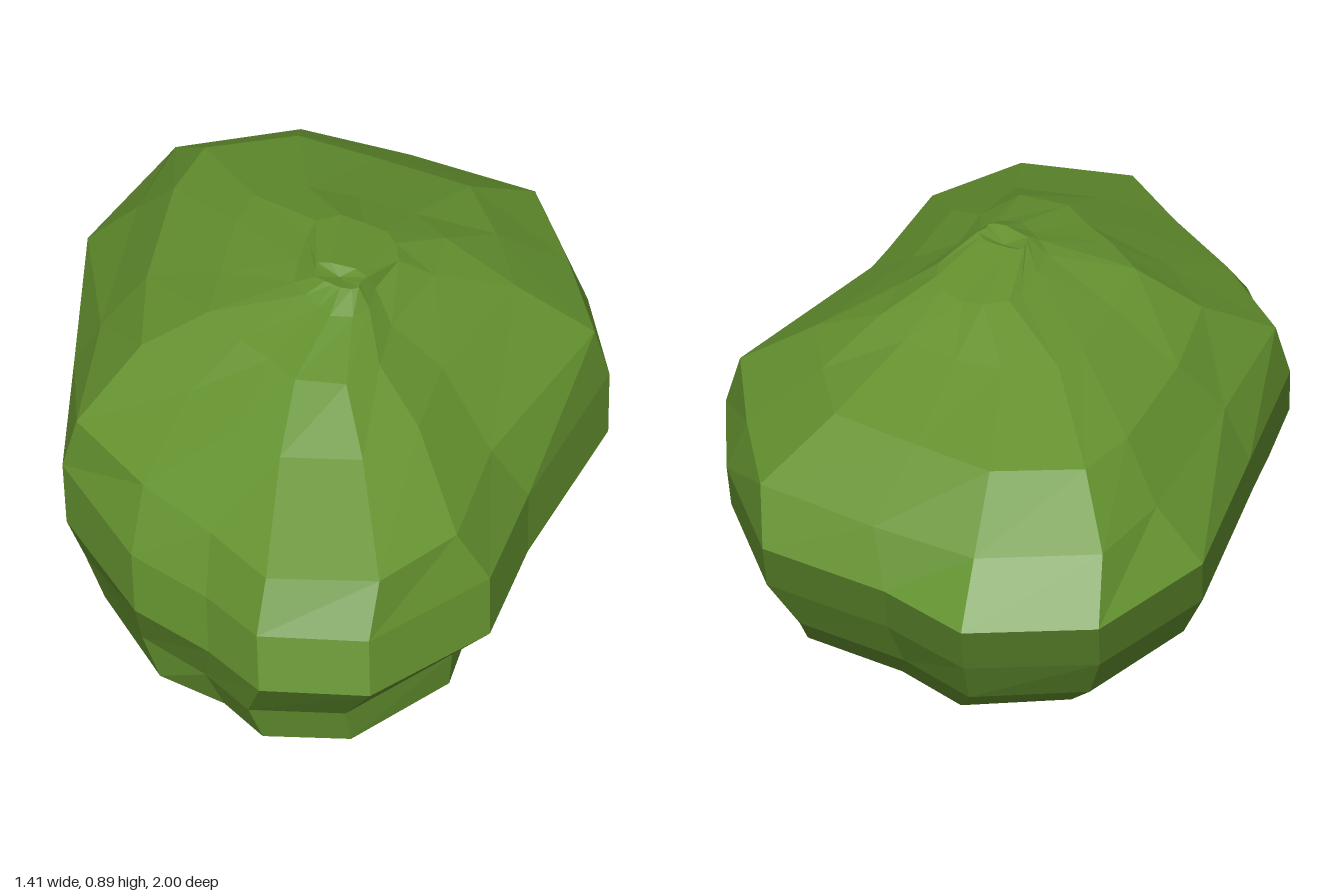
import * as THREE from 'three';

// Plan outlines (x, z), running from the back round the left side to the front
const WAIST = [[-.34, -1], [-.08, -.92], [.28, -.89], [.54, -.6], [.69, -.33], [.66, .2], [.68, .55], [.48, .89],
  [.21, .96], [.04, .85], [-.19, .75], [-.47, .46], [-.58, .05], [-.71, -.43], [-.63, -.82]];
const SHOULDER = [[-.3, -.86], [-.01, -.85], [.33, -.81], [.5, -.57], [.655, -.32], [.57, .22], [.6, .57], [.48, .81],
  [.21, .89], [.02, .76], [-.2, .63], [-.44, .44], [-.51, .05], [-.58, -.43], [-.57, -.69]];

// Rings from the ground up: outline, y, scale x, scale z, centre x, centre z, roughness
const RINGS = [
  [WAIST, .042, .45, .55, .01, .03, 0],
  [WAIST, .042, .67, .72, -.015, .02, 0],
  [WAIST, .085, .78, .86, .04, .07, 0],
  [WAIST, .18, .86, .92, -.005, .04, 0],
  [WAIST, .305, .99, .99, .02, .045, 0],
  [WAIST, .445, 1, 1, 0, 0, 0],
  [SHOULDER, .575, 1, 1, 0, 0, 0],
  [SHOULDER, .705, .74, .71, -.015, -.05, .01],
  [SHOULDER, .8, .44, .43, .02, 0, .02],
  [SHOULDER, .857, .2, .22, .09, -.02, .015],
  [SHOULDER, .888, .11, .05, .11, .055, 0],
];
const UNDERSIDE = 2; // rings below this one tilt gently down to the front left
const FOOT = 11; // column whose innermost bottom point touches the ground

// Swellings and hollows, as ring: { column: scale }
const BUMPS = {
  1: { 3: .95, 4: .92, 5: .96 },
  2: { 3: .91, 4: .89, 5: .96, 10: 1.05, 11: 1.06 },
  7: { 12: 1.05, 13: 1.05 },
  8: { 3: 1.15 },
};

function seeded(seed) {
  return () => {
    seed = (seed * 16807) % 2147483647;
    return seed / 2147483647 * 2 - 1;
  };
}

export function createModel() {
  const group = new THREE.Group();
  group.name = 'bush';
  const leafGreen = new THREE.MeshStandardMaterial({ color: 0x64922f, flatShading: true });
  leafGreen.name = 'leaf green';

  const rand = seeded(77);
  const n = WAIST.length;
  const points = [];
  const faces = [];

  RINGS.forEach(([outline, y, sx, sz, cx, cz, rough], r) => {
    outline.forEach(([x, z], i) => {
      const k = (BUMPS[r]?.[i] ?? 1) * (1 + rand() * rough * 2);
      const tilt = r < UNDERSIDE ? -.01 * (x + z) : rand() * rough * .4;
      points.push(x * sx * k + cx, r === 0 && i === FOOT ? 0 : y + tilt, z * sz * k + cz);
    });
  });

  // Side walls between neighbouring rings
  for (let r = 0; r < RINGS.length - 1; r++) {
    for (let i = 0; i < n; i++) {
      const a = r * n + i, b = r * n + (i + 1) % n;
      faces.push(a, a + n, b, b, a + n, b + n);
    }
  }

  // Dimpled crown and flat underside
  const crown = points.length / 3, base = crown + 1;
  points.push(.11, .872, .04, 0, .042, 0);
  const last = (RINGS.length - 1) * n;
  for (let i = 0; i < n; i++) {
    const j = (i + 1) % n;
    faces.push(last + i, crown, last + j, i, j, base);
  }

  const indexed = new THREE.BufferGeometry();
  indexed.setAttribute('position', new THREE.Float32BufferAttribute(points, 3));
  indexed.setIndex(faces);
  const geometry = indexed.toNonIndexed();
  geometry.computeVertexNormals();

  const foliage = new THREE.Mesh(geometry, leafGreen);
  foliage.name = 'foliage';
  group.add(foliage);
  return group;
}
